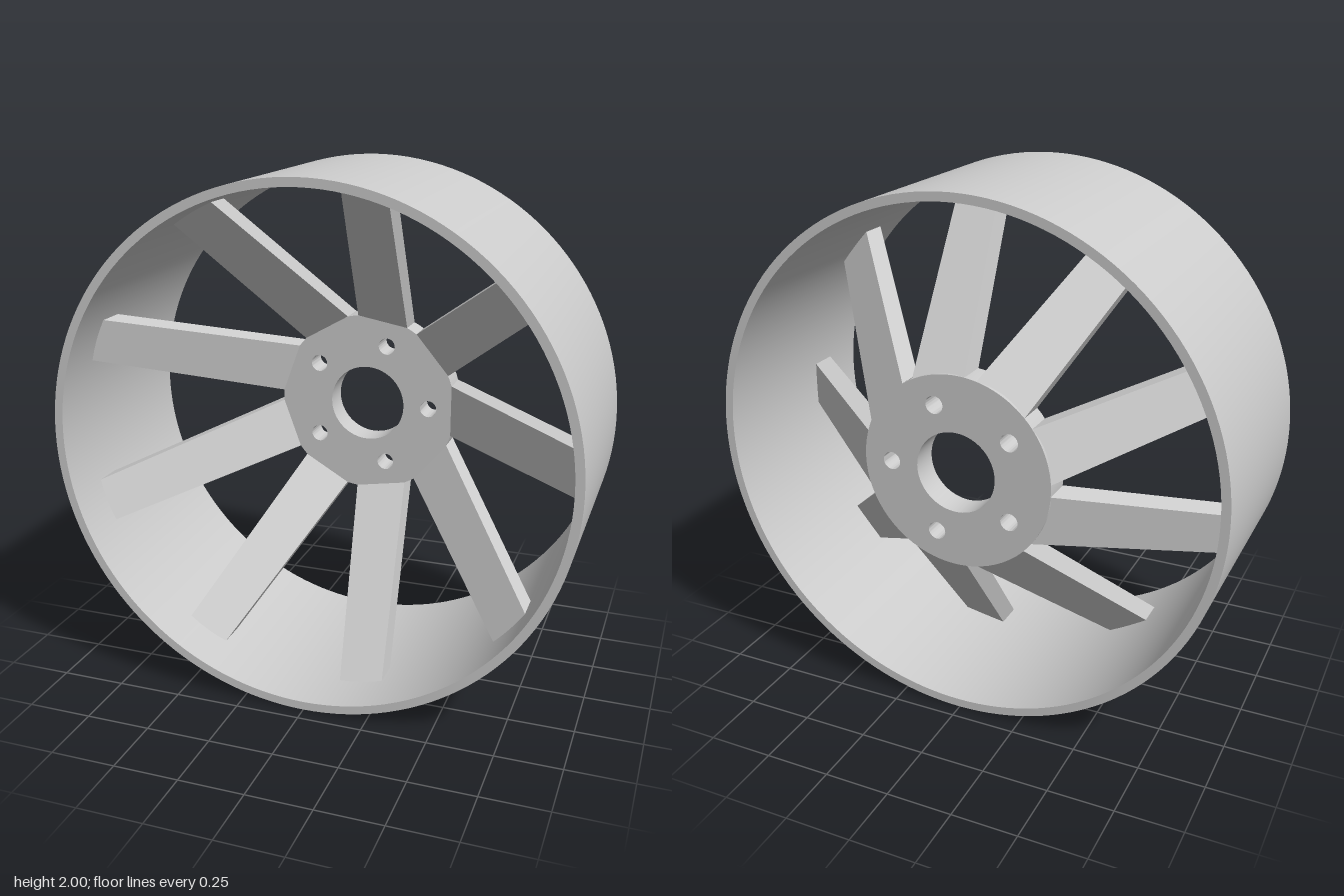
import * as THREE from 'three';
import { toCreasedNormals } from 'three/addons/utils/BufferGeometryUtils.js';

const HALF_DEPTH = 0.44;   // half the rim width along z
const HUB_DEPTH = 0.11;
const SPOKES = 9;
const BOLTS = 5;

// Disc with round holes [x, y, radius], starting at the back plane
function disc(radius, holes, depth, curveSegments) {
  const shape = new THREE.Shape().absarc(0, 0, radius, 0, Math.PI * 2, false);
  for (const [x, y, r] of holes) {
    shape.holes.push(new THREE.Path().absarc(x, y, r, 0, Math.PI * 2, true));
  }
  const geo = new THREE.ExtrudeGeometry(shape, { depth, bevelEnabled: false, curveSegments });
  geo.translate(0, 0, -HALF_DEPTH);
  return toCreasedNormals(geo, Math.PI / 5);
}

// Tapered bar that leans forward from the hub edge to the inside of the rim
function spokeGeometry() {
  const r0 = 0.355, r1 = 0.975, rise = 0.59;
  const geo = new THREE.BoxGeometry(1, 1, 1);
  const p = geo.attributes.position;
  for (let i = 0; i < p.count; i++) {
    const t = p.getX(i) + 0.5;
    const width = THREE.MathUtils.lerp(0.21, 0.174, t);
    const z = -HALF_DEPTH + HUB_DEPTH * (p.getZ(i) + 0.5) + rise * t;
    p.setXYZ(i, THREE.MathUtils.lerp(r0, r1, t), p.getY(i) * width, z);
  }
  geo.computeVertexNormals();
  return geo;
}

export function createModel() {
  const metal = new THREE.MeshStandardMaterial({ color: 0xcccccc });
  metal.name = 'light grey metal';

  const wheel = new THREE.Group();
  wheel.name = 'wheel';
  wheel.position.y = 1;

  const add = (name, geometry) => {
    const mesh = new THREE.Mesh(geometry, metal);
    mesh.name = name;
    wheel.add(mesh);
    return mesh;
  };

  // Wide thin rim
  add('rim', disc(1, [[0, 0, 0.967]], HALF_DEPTH * 2, 72));

  // Hub plate at the back, with centre bore and bolt holes
  const holes = [[0, 0, 0.155]];
  for (let i = 0; i < BOLTS; i++) {
    const a = (i / BOLTS) * Math.PI * 2;
    holes.push([0.26 * Math.cos(a), 0.26 * Math.sin(a), 0.034]);
  }
  add('hub', disc(0.37, holes, HUB_DEPTH, 36));

  // Ring of leaning spokes
  const spoke = spokeGeometry();
  for (let i = 0; i < SPOKES; i++) {
    add('spoke' + (i + 1), spoke).rotation.z = (i / SPOKES) * Math.PI * 2;
  }

  const model = new THREE.Group();
  model.name = 'model';
  model.add(wheel);
  return model;
}
